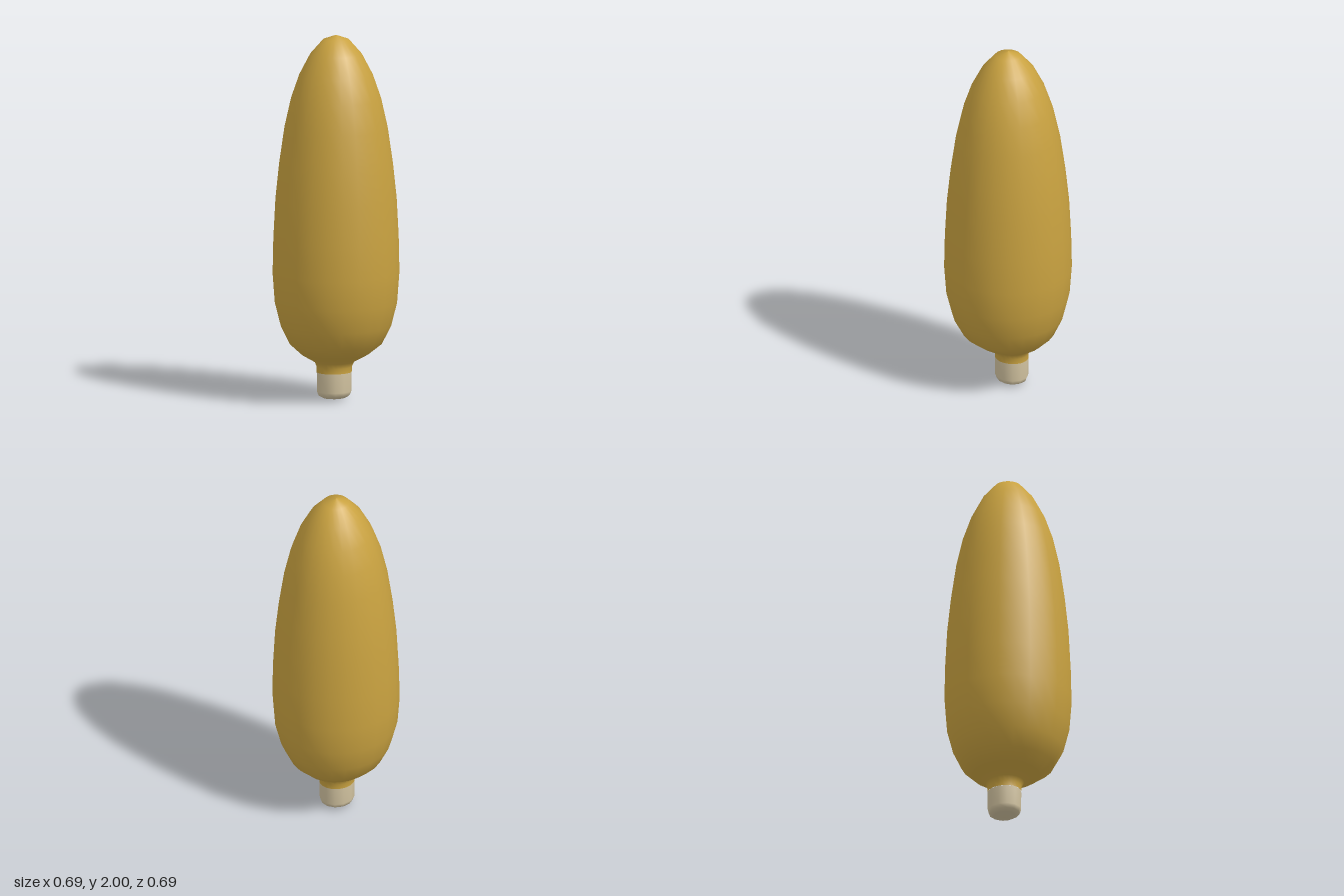
import * as THREE from 'three';

const batterMaterial = new THREE.MeshStandardMaterial({ color: 0xc9a240 });
batterMaterial.name = 'goldenBatter';
const woodMaterial = new THREE.MeshStandardMaterial({ color: 0xd2c3a0 });
woodMaterial.name = 'paleWood';

// Lathe whose lower end eases into the slightly oval, off-centre stick section
function turned(name, profile, sides, material) {
  const geometry = new THREE.LatheGeometry(profile.map(([r, y]) => new THREE.Vector2(r, y)), sides);
  const p = geometry.attributes.position;
  for (let i = 0; i < p.count; i++) {
    const t = THREE.MathUtils.clamp((0.33 - p.getY(i)) / 0.15, 0, 1);
    p.setX(i, p.getX(i) * (1 - 0.043 * t) - 0.021 * t);
    p.setZ(i, p.getZ(i) * (1 + 0.053 * t) - 0.004 * t);
  }
  const mesh = new THREE.Mesh(geometry, material);
  mesh.name = name;
  return mesh;
}

export function createModel() {
  const model = new THREE.Group();
  model.name = 'batteredSnackOnStick';

  // Rounded batter body with a flared neck
  model.add(turned('batterBody', [
    [0.093, 0.15], [0.093, 0.178], [0.105, 0.207], [0.18, 0.25], [0.25, 0.31],
    [0.30, 0.41], [0.333, 0.54], [0.345, 0.70], [0.341, 0.89], [0.33, 1.10],
    [0.31, 1.29], [0.281, 1.49], [0.245, 1.65], [0.2, 1.78], [0.14, 1.895],
    [0.07, 1.975], [0, 2],
  ], 24, batterMaterial));

  // Short stick with a softened end
  model.add(turned('stick', [
    [0, 0], [0.06, 0.009], [0.083, 0.022], [0.092, 0.045], [0.093, 0.15],
  ], 12, woodMaterial));

  return model;
}
